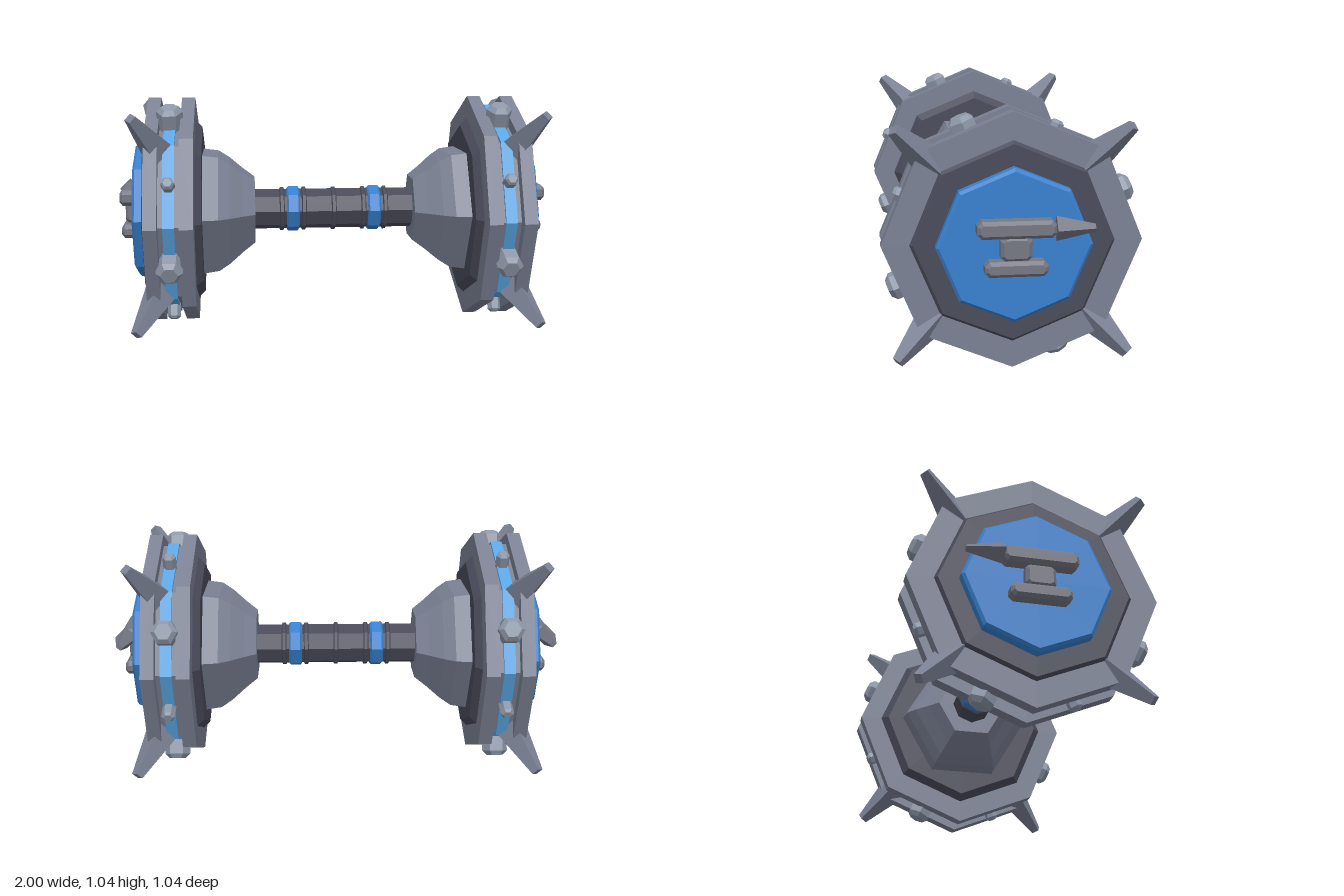
import * as THREE from 'three';

const CY = 0.52; // height of the bar axis
const mat = (name, hex) => {
  const m = new THREE.MeshStandardMaterial({ color: hex });
  m.name = name;
  return m;
};

export function createModel() {
  const steel = mat('steel grey', 0x7b8194);
  const dark = mat('dark slate', 0x494b5a);
  const grip = mat('grip charcoal', 0x4a4a5a);
  const blue = mat('blue', 0x3780cf);
  const glow = mat('light blue', 0x5aa6e4);
  const boltGrey = mat('bolt grey', 0x8d97a8);
  const emblemGrey = mat('emblem grey', 0x757783);

  const root = new THREE.Group();
  root.name = 'dumbbell';
  root.position.y = CY;

  // Faceted mesh; side -1 mirrors the geometry across x
  const add = (parent, name, geometry, material, side = 1) => {
    const g = geometry.index ? geometry.toNonIndexed() : geometry;
    if (side < 0) {
      g.scale(-1, 1, 1);
      const p = g.attributes.position;
      const a = new THREE.Vector3(), b = new THREE.Vector3();
      for (let i = 0; i < p.count; i += 3) {
        a.fromBufferAttribute(p, i + 1);
        b.fromBufferAttribute(p, i + 2);
        p.setXYZ(i + 1, b.x, b.y, b.z);
        p.setXYZ(i + 2, a.x, a.y, a.z);
      }
    }
    g.computeVertexNormals();
    const mesh = new THREE.Mesh(g, material);
    mesh.name = name;
    parent.add(mesh);
  };

  // Solid of revolution about x from [x, radius] pairs in rising x
  const turned = (pairs, sides = 8) => {
    const pts = pairs.map(([x, r]) => new THREE.Vector2(r, x));
    return new THREE.LatheGeometry(pts, sides).rotateZ(-Math.PI / 2);
  };
  const disc = (x0, x1, r) => turned([[x0, 0], [x0, r], [x1, r], [x1, 0]]);

  // Four-sided tapered spike between two points
  const spike = (from, to, r0, r1) => {
    const dir = to.clone().sub(from);
    const g = new THREE.CylinderGeometry(r1, r0, dir.length(), 4);
    const y = dir.normalize();
    const x = new THREE.Vector3(1, 0, 0).addScaledVector(y, -y.x).normalize();
    const z = x.clone().cross(y);
    const mid = from.clone().add(to).multiplyScalar(0.5);
    return g.applyMatrix4(new THREE.Matrix4().makeBasis(x, y, z).setPosition(mid));
  };

  // Chamfered bar lying on the end cap: centre (y, z), size (h, d), thickness in x
  const bar = (y, z, h, d, x0, x1) => {
    const b = 0.014, c = 0.01, w = d / 2 - b, v = h / 2 - b;
    const s = new THREE.Shape([
      [-w + c, -v], [w - c, -v], [w, -v + c], [w, v - c],
      [w - c, v], [-w + c, v], [-w, v - c], [-w, -v + c],
    ].map(([px, py]) => new THREE.Vector2(px, py)));
    return new THREE.ExtrudeGeometry(s, {
      depth: x1 - x0 - 2 * b, bevelThickness: b, bevelSize: b, bevelSegments: 1,
    }).rotateY(Math.PI / 2).translate(x0 + b, y, z);
  };

  // Handle with blue bands and thin rings
  const handle = new THREE.Group();
  handle.name = 'handle';
  root.add(handle);
  add(handle, 'gripBar', disc(-0.4, 0.4, 0.093), grip);
  for (const x of [-0.188, 0.188]) {
    add(handle, 'gripBand', turned([
      [x - 0.03, 0], [x - 0.03, 0.095], [x - 0.022, 0.105],
      [x + 0.022, 0.105], [x + 0.03, 0.095], [x + 0.03, 0],
    ]), blue);
  }
  for (const x of [-0.24, -0.138, 0, 0.138, 0.24]) {
    add(handle, 'gripRing', turned([
      [x - 0.013, 0.09], [x - 0.007, 0.102], [x + 0.007, 0.102], [x + 0.013, 0.09],
    ]), dark);
  }

  for (const side of [1, -1]) {
    const weight = new THREE.Group();
    weight.name = side > 0 ? 'leftWeight' : 'rightWeight';
    root.add(weight);
    const put = (name, g, m) => add(weight, name, g, m, side);

    // Six-sided collar flaring into the weight
    put('collar', turned([
      [0.365, 0], [0.365, 0.165], [0.42, 0.21], [0.48, 0.265],
      [0.53, 0.3], [0.61, 0.312], [0.61, 0],
    ], 6), steel);

    // Stacked octagonal plates
    put('innerPlate', turned([[0.6, 0], [0.6, 0.385], [0.632, 0.42], [0.632, 0]]), dark);
    put('innerRing', disc(0.63, 0.69, 0.52), steel);
    put('core', disc(0.68, 0.79, 0.468), steel);
    put('lightBand', disc(0.712, 0.762, 0.48), glow);
    put('outerRing', disc(0.783, 0.842, 0.52), steel);
    put('outerPlate', turned([[0.84, 0], [0.84, 0.41], [0.856, 0.395], [0.856, 0]]), dark);
    put('endCap', turned([[0.85, 0], [0.85, 0.31], [0.895, 0.31], [0.906, 0.297], [0.906, 0]]), blue);

    // Outward-leaning spikes on the diagonals
    for (let i = 0; i < 4; i++) {
      const a = Math.PI / 4 + i * Math.PI / 2;
      const at = (x, r) => new THREE.Vector3(x, r * Math.cos(a), r * Math.sin(a));
      put('spike', spike(at(0.76, 0.385), at(0.883, 0.655), 0.085, 0.026), steel);
    }

    // Alternating large and small bolts on the edge faces
    for (let i = 0; i < 8; i++) {
      const a = Math.PI / 8 + i * Math.PI / 4;
      const [r, top] = i % 2 ? [0.03, 0.505] : [0.058, 0.53];
      const c = r * 0.35;
      const pts = [[0, 0.43], [r, 0.43], [r, top - c], [r - c, top], [0, top]]
        .map(([px, py]) => new THREE.Vector2(px, py));
      const g = new THREE.LatheGeometry(pts, 6).rotateY(Math.PI / 6);
      put('bolt', g.rotateX(a).translate(0.737, 0, 0), boltGrey);
    }

    // Raised anvil on the end cap
    put('anvilTop', bar(0.08, 0, 0.07, 0.31, 0.895, 0.972), emblemGrey);
    put('anvilWaist', bar(0.0, 0, 0.1, 0.125, 0.895, 0.955), emblemGrey);
    put('anvilFoot', bar(-0.077, 0, 0.062, 0.25, 0.895, 0.968), emblemGrey);
    put('anvilHorn', spike(
      new THREE.Vector3(0.95, 0.08, -0.153), new THREE.Vector3(0.955, 0.08, -0.305), 0.05, 0.016,
    ), emblemGrey);
  }

  const model = new THREE.Group();
  model.name = 'model';
  model.add(root);
  return model;
}
